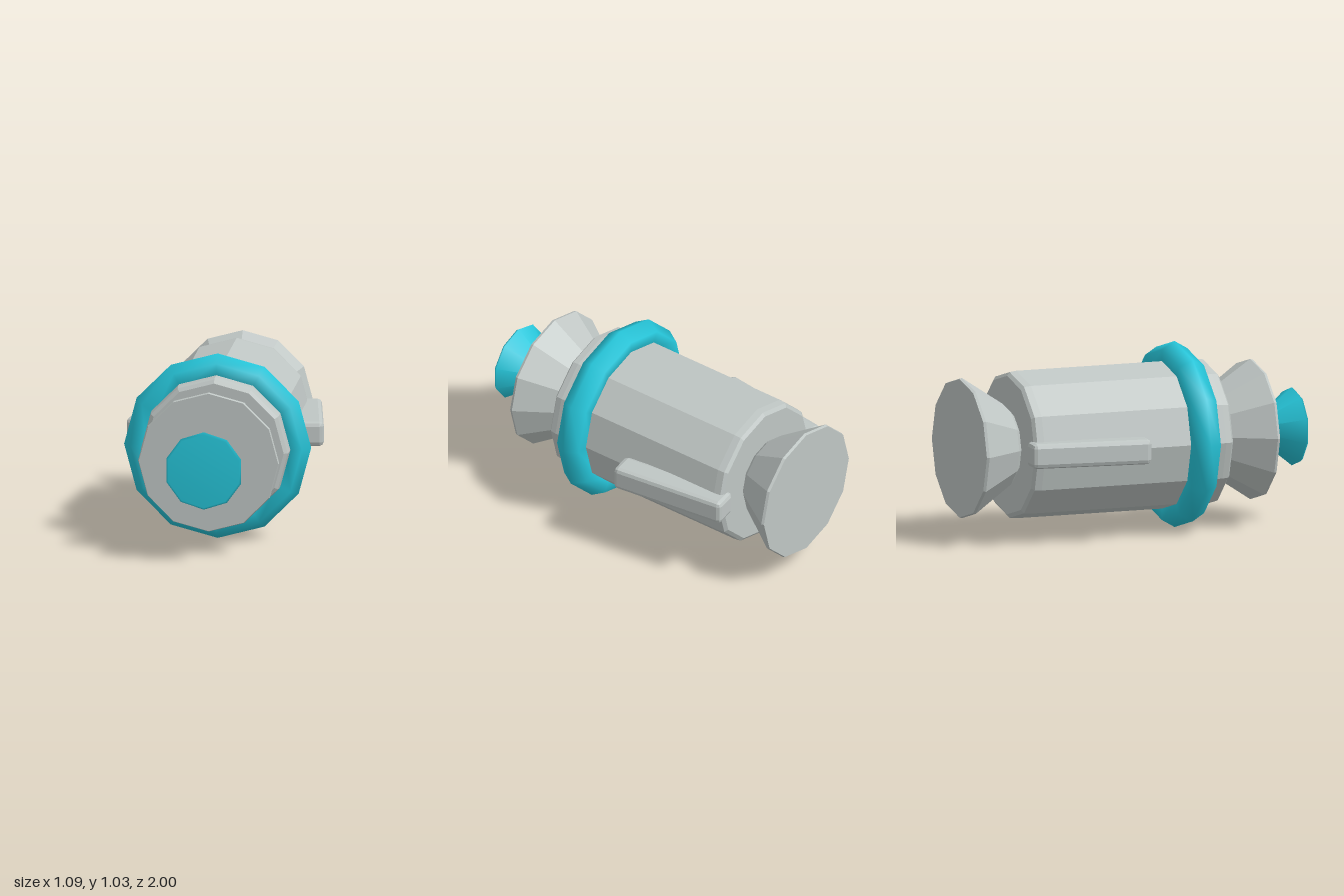
import * as THREE from 'three';
import { RoundedBoxGeometry } from 'three/addons/geometries/RoundedBoxGeometry.js';

const AXIS_Y = 0.517;

export function createModel() {
  const group = new THREE.Group();
  const grey = new THREE.MeshStandardMaterial({ color: 0xbfc6c4, flatShading: true });
  grey.name = 'hullGrey';
  const cyan = new THREE.MeshStandardMaterial({ color: 0x26c6da });
  cyan.name = 'glowCyan';

  function add(name, geometry, material, x = 0, z = 0) {
    const mesh = new THREE.Mesh(geometry, material);
    mesh.name = name;
    mesh.position.set(x, AXIS_Y, z);
    group.add(mesh);
    return mesh;
  }

  // Faceted solid turned around the z axis; profile is [radius, z] pairs
  function turned(profile, sides) {
    const points = profile.map(([r, z]) => new THREE.Vector2(r, z));
    return new THREE.LatheGeometry(points, sides).rotateX(Math.PI / 2);
  }

  // Main barrel with chamfered ends
  add('body', turned([
    [0, -0.715], [0.385, -0.715], [0.405, -0.7], [0.41, -0.66],
    [0.41, 0.42], [0.405, 0.455], [0.385, 0.47], [0, 0.47],
  ], 12), grey);

  // Flared ends, narrow side against the body
  const flare = [[0, 0], [0.2, 0], [0.23, 0.025], [0.39, 0.27], [0.385, 0.285], [0, 0.285]];
  add('frontFlare', turned(flare, 12), grey, 0, 0.467);
  add('rearNozzle', turned(flare, 12), grey, 0, -0.715).rotation.y = Math.PI;

  // Nose cone opening towards the front
  add('noseCone', turned([[0, 0.71], [0.217, 0.985], [0.205, 1], [0, 1]], 10), cyan);

  // Ring around the barrel
  add('ring', new THREE.TorusGeometry(0.43, 0.087, 6, 12), cyan, 0, 0.285);

  // Side fins, splayed out towards the front
  for (const side of [1, -1]) {
    const fin = add(side > 0 ? 'leftFin' : 'rightFin',
      new RoundedBoxGeometry(0.145, 0.138, 0.68, 1, 0.025), grey, side * 0.433, -0.408);
    fin.rotation.y = side * 0.125;
  }

  return group;
}
